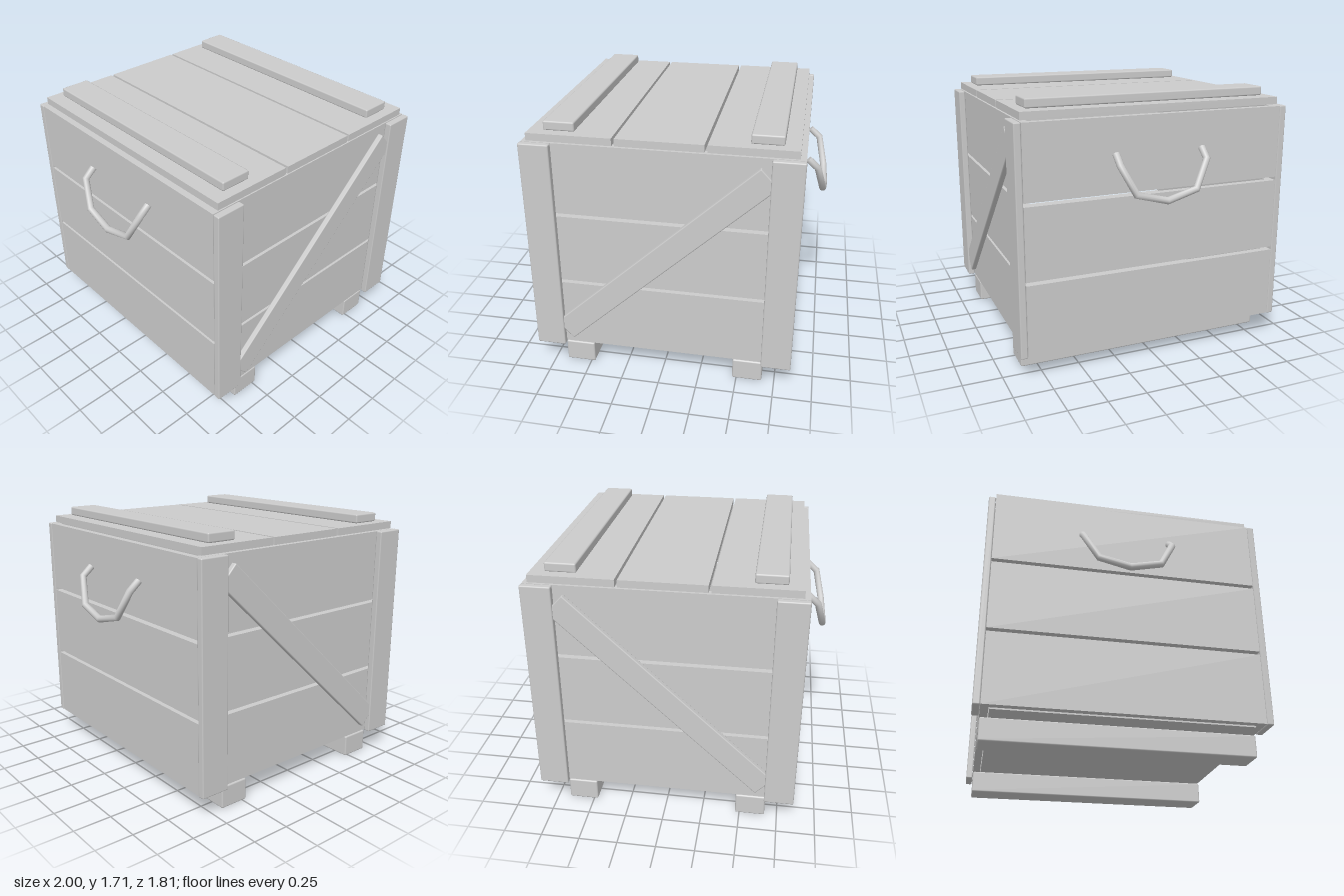
import * as THREE from 'three';
import { RoundedBoxGeometry } from 'three/addons/geometries/RoundedBoxGeometry.js';

const grey = new THREE.MeshStandardMaterial({ color: 0xcccccc });

// Board given by its extents; a bevel above zero chamfers the edges.
function board(name, [x0, x1], [y0, y1], [z0, z1], bevel = 0) {
  const w = x1 - x0, h = y1 - y0, d = z1 - z0;
  const geometry = bevel
    ? new RoundedBoxGeometry(w, h, d, 1, bevel)
    : new THREE.BoxGeometry(w, h, d);
  const mesh = new THREE.Mesh(geometry, grey);
  mesh.name = name;
  mesh.position.set((x0 + x1) / 2, (y0 + y1) / 2, (z0 + z1) / 2);
  return mesh;
}

// Curve sampled exactly at its knots, so the tube bends in straight pieces.
class KnotCurve extends THREE.CatmullRomCurve3 {
  getPointAt(u, target) { return this.getPoint(u, target); }
  getTangentAt(u, target) {
    const n = this.points.length - 1;
    const i = Math.round(u * n);
    const a = this.points[Math.max(i - 1, 0)], b = this.points[i];
    const c = this.points[Math.min(i + 1, n)];
    const before = b.clone().sub(a).normalize(), after = c.clone().sub(b).normalize();
    return (target || new THREE.Vector3()).copy(before).add(after).normalize();
  }
}

// Drooping angular handle with capped ends, on the +x side.
function makeHandle(name) {
  const group = new THREE.Group();
  group.name = name;
  const half = [[0.86, 1.372, 0.288], [0.925, 1.315, 0.288], [0.968, 1.14, 0.2]];
  const points = [
    ...half.map(([x, y, z]) => new THREE.Vector3(x, y, z)),
    new THREE.Vector3(0.977, 1.088, 0),
    ...half.reverse().map(([x, y, z]) => new THREE.Vector3(x, y, -z)),
  ];
  const radius = 0.023, sides = 12;
  const bar = new THREE.Mesh(
    new THREE.TubeGeometry(new KnotCurve(points), points.length - 1, radius, sides), grey);
  bar.name = 'handleBar';
  group.add(bar);
  for (const [end, next] of [[points[0], points[1]], [points[6], points[5]]]) {
    const cap = new THREE.Mesh(new THREE.CircleGeometry(radius, sides), grey);
    cap.name = 'handleEnd';
    cap.position.copy(end);
    cap.lookAt(end.clone().multiplyScalar(2).sub(next));
    group.add(cap);
  }
  return group;
}

export function createModel() {
  const crate = new THREE.Group();
  crate.name = 'crate';

  // Walls: three spaced planks on each of the four sides
  const rows = [[0.155, 0.62], [0.642, 1.105], [1.128, 1.595]];
  for (const row of rows) {
    crate.add(
      board('frontPlank', [-0.805, 0.805], row, [0.81, 0.858]),
      board('backPlank', [-0.805, 0.805], row, [-0.858, -0.81]),
      board('leftPlank', [0.805, 0.85], row, [-0.858, 0.858]),
      board('rightPlank', [-0.85, -0.805], row, [-0.858, 0.858]));
  }

  // Floor panel
  crate.add(board('floor', [-0.8, 0.8], [0.147, 0.19], [-0.805, 0.805]));

  // Corner posts and diagonal braces, front and back
  for (const s of [1, -1]) {
    const z = s > 0 ? [0.86, 0.905] : [-0.905, -0.86];
    crate.add(
      board('leftPost', [0.66, 0.853], [0.15, 1.597], z, 0.008),
      board('rightPost', [-0.853, -0.66], [0.15, 1.597], z, 0.008));
    const brace = board('diagonalBrace', [-0.894, 0.894], [0.795, 0.955],
      s > 0 ? [0.858, 0.896] : [-0.896, -0.858], 0.008);
    brace.rotation.z = 0.75;
    crate.add(brace);
  }

  // Lid planks
  for (const x of [[-0.815, -0.285], [-0.268, 0.268], [0.285, 0.815]]) {
    crate.add(board('lidPlank', x, [1.603, 1.65], [-0.858, 0.858]));
  }

  // Lid battens and floor skids
  for (const s of [1, -1]) {
    const batten = s > 0 ? [0.527, 0.723] : [-0.723, -0.527];
    const skid = s > 0 ? [0.472, 0.668] : [-0.668, -0.472];
    crate.add(
      board('lidBatten', batten, [1.652, 1.711], [-0.8, 0.8], 0.01),
      board('skid', skid, [0, 0.147], [-0.858, 0.858], 0.01));
  }

  // Handles on both sides
  const leftHandle = makeHandle('leftHandle');
  const rightHandle = makeHandle('rightHandle');
  rightHandle.rotation.y = Math.PI;
  crate.add(leftHandle, rightHandle);

  return crate;
}
